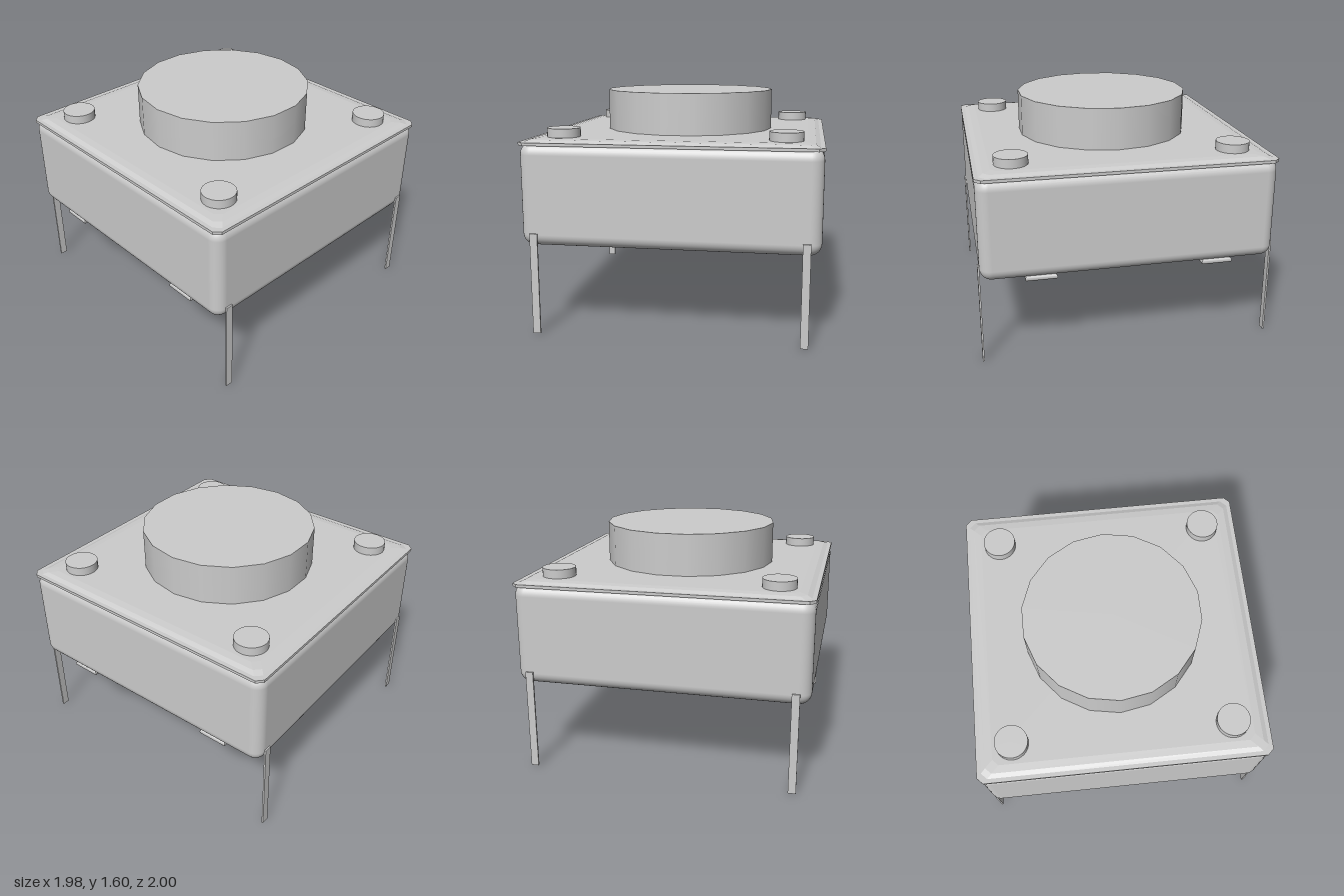
import * as THREE from 'three';
import { RoundedBoxGeometry } from 'three/addons/geometries/RoundedBoxGeometry.js';
import { toCreasedNormals } from 'three/addons/utils/BufferGeometryUtils.js';

const grey = new THREE.MeshStandardMaterial({ color: 0xcccccc });

function add(parent, name, geometry, x = 0, y = 0, z = 0) {
  const mesh = new THREE.Mesh(geometry, grey);
  mesh.name = name;
  mesh.position.set(x, y, z);
  parent.add(mesh);
  return mesh;
}

const toPoints = (list) => list.map(([x, y]) => new THREE.Vector2(x, y));

// Square with cut corners
function cutSquare(half, cut) {
  const k = half - cut;
  return new THREE.Shape(toPoints([
    [half, -k], [half, k], [k, half], [-k, half],
    [-half, k], [-half, -k], [-k, -half], [k, -half],
  ]));
}

// Horizontal slab: shape in x/z, base at y = 0, optional rounded edges
function slab(shape, height, bevel = 0, segments = 1) {
  const g = new THREE.ExtrudeGeometry(shape, {
    depth: height - 2 * bevel, bevelEnabled: bevel > 0, bevelThickness: bevel,
    bevelSize: bevel, bevelOffset: -bevel, bevelSegments: segments,
  });
  g.translate(0, 0, bevel).rotateX(-Math.PI / 2);
  return toCreasedNormals(g, 0.6);
}

export function createModel() {
  const model = new THREE.Group();
  model.name = 'pushSwitch';

  // Housing with rounded edges
  add(model, 'housing', new RoundedBoxGeometry(1.975, 0.69, 1.975, 5, 0.08), 0, 0.945, 0);

  // Cover plate with a low sloped top
  const cover = new THREE.Group();
  cover.name = 'cover';
  model.add(cover);
  add(cover, 'coverPlate', slab(cutSquare(0.99, 0.04), 0.02), 0, 1.272, 0);
  const slope = new THREE.BufferGeometry();
  const rings = [[0.965, 1.29], [0.93, 1.305], [0.88, 1.31]]
    .map(([h, y]) => cutSquare(h, 0.04).getPoints().map((p) => [p.x, y, -p.y]));
  const verts = [];
  for (let r = 0; r < 2; r++) {
    for (let i = 0; i < 8; i++) {
      const j = (i + 1) % 8;
      const [a, b, c, d] = [rings[r][i], rings[r][j], rings[r + 1][j], rings[r + 1][i]];
      verts.push(...a, ...b, ...c, ...a, ...c, ...d);
    }
  }
  for (let i = 1; i < 7; i++) verts.push(...rings[2][0], ...rings[2][i], ...rings[2][i + 1]);
  slope.setAttribute('position', new THREE.Float32BufferAttribute(verts, 3));
  slope.computeVertexNormals();
  add(cover, 'coverTop', slope);

  // Large round button, eighteen sides
  add(model, 'button', new THREE.CylinderGeometry(0.605, 0.605, 0.285, 18, 1, false, Math.PI / 18), 0, 1.4525, 0);

  // Corner rivets and thin legs
  for (const sx of [-1, 1]) {
    for (const sz of [-1, 1]) {
      add(model, 'rivet', new THREE.CylinderGeometry(0.112, 0.112, 0.07, 32), sx * 0.743, 1.335, sz * 0.743);
      add(model, 'leg', new THREE.BoxGeometry(0.052, 0.69, 0.012), sx * 0.893, 0.345, sz * 0.992);
    }
  }

  // Raised pattern under the housing: four bars, two webs, two crossing strips
  const quarter = [
    [0.72, 0], [0.72, 0.49], [0.96, 0.49], [0.96, 0.7],
    [0.13, 0.7], [0.13, 0.42], [0, 0.42],
  ];
  const inner = quarter.slice(1, 6);
  const flip = (list, sx, sy) => list.map(([x, y]) => [sx * x, sy * y]);
  const outline = [
    ...inner, ...flip(inner, -1, 1).reverse(),
    ...flip(inner, -1, -1), ...flip(inner, 1, -1).reverse(),
  ];
  const pattern = new THREE.Shape(toPoints(outline));
  pattern.holes.push(new THREE.Path(toPoints([[-0.2, -0.23], [-0.2, 0.23], [0.2, 0.23], [0.2, -0.23]])));
  add(model, 'undersidePattern', slab(pattern, 0.034, 0.014, 3), 0, 0.575, 0);

  return model;
}
